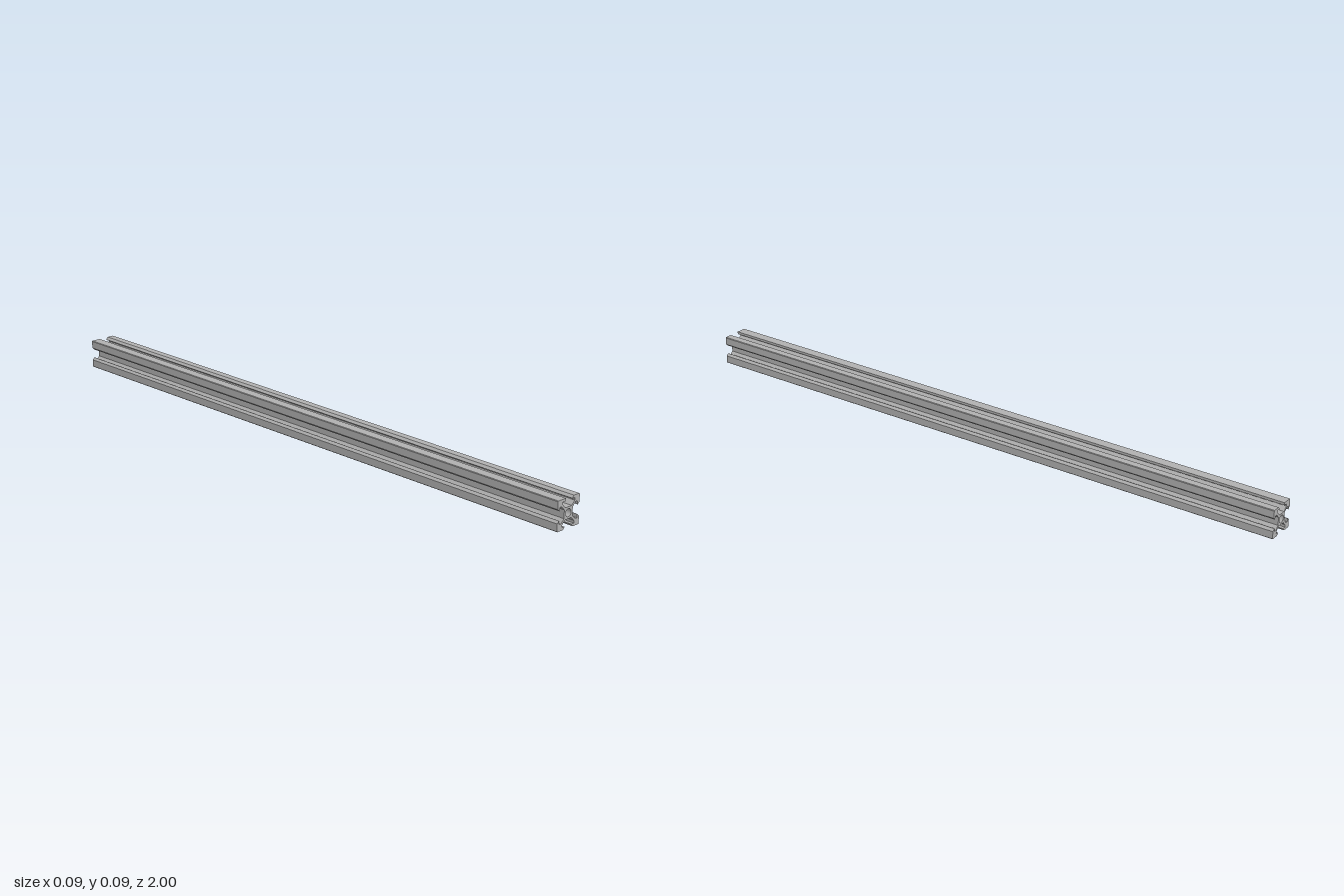
import * as THREE from 'three';

const UNIT = 2 / 450; // one profile step; the bar is 20 steps wide and 450 long
const LENGTH = 2;

// One corner arm of the cross-section, counter-clockwise from the +x slot to the +y slot
function armPoints(squareLip) {
  const lip = squareLip
    ? [[8.2, 2.8], [10, 2.8]]
    : [[8.2, 3.1], [8.4, 3.1], [10, 4.6]];
  return [
    [3.9, 2.84], [6.56, 5.5], [8.2, 5.5],
    ...lip,
    [10, 9.6], [9.6, 10],
    [4.6, 10], [3.1, 8.4], [3.1, 8.2],
    [5.5, 8.2], [5.5, 6.56], [2.84, 3.9],
  ];
}

function railShape() {
  const outline = [];
  for (let k = 0; k < 4; k++) {
    // The upper arm on the right-hand side has one unbevelled lip
    for (const [x, y] of armPoints(k === 1)) {
      outline.push(
        new THREE.Vector2(x * UNIT, y * UNIT).rotateAround(new THREE.Vector2(), (k * Math.PI) / 2)
      );
    }
  }
  const shape = new THREE.Shape(outline);
  // Central bore
  const bore = new THREE.Path();
  bore.absarc(0, 0, 2.6 * UNIT, 0, Math.PI * 2, true);
  shape.holes.push(bore);
  return shape;
}

export function createModel() {
  const aluminium = new THREE.MeshStandardMaterial({ color: 0xb0b0b0 });
  aluminium.name = 'aluminium';

  const geometry = new THREE.ExtrudeGeometry(railShape(), {
    depth: LENGTH,
    bevelEnabled: false,
    curveSegments: 32,
  });
  geometry.translate(0, 10 * UNIT, -LENGTH / 2);

  const rail = new THREE.Mesh(geometry, aluminium);
  rail.name = 'slottedRail';

  const model = new THREE.Group();
  model.name = 'extrudedRail';
  model.add(rail);
  return model;
}
